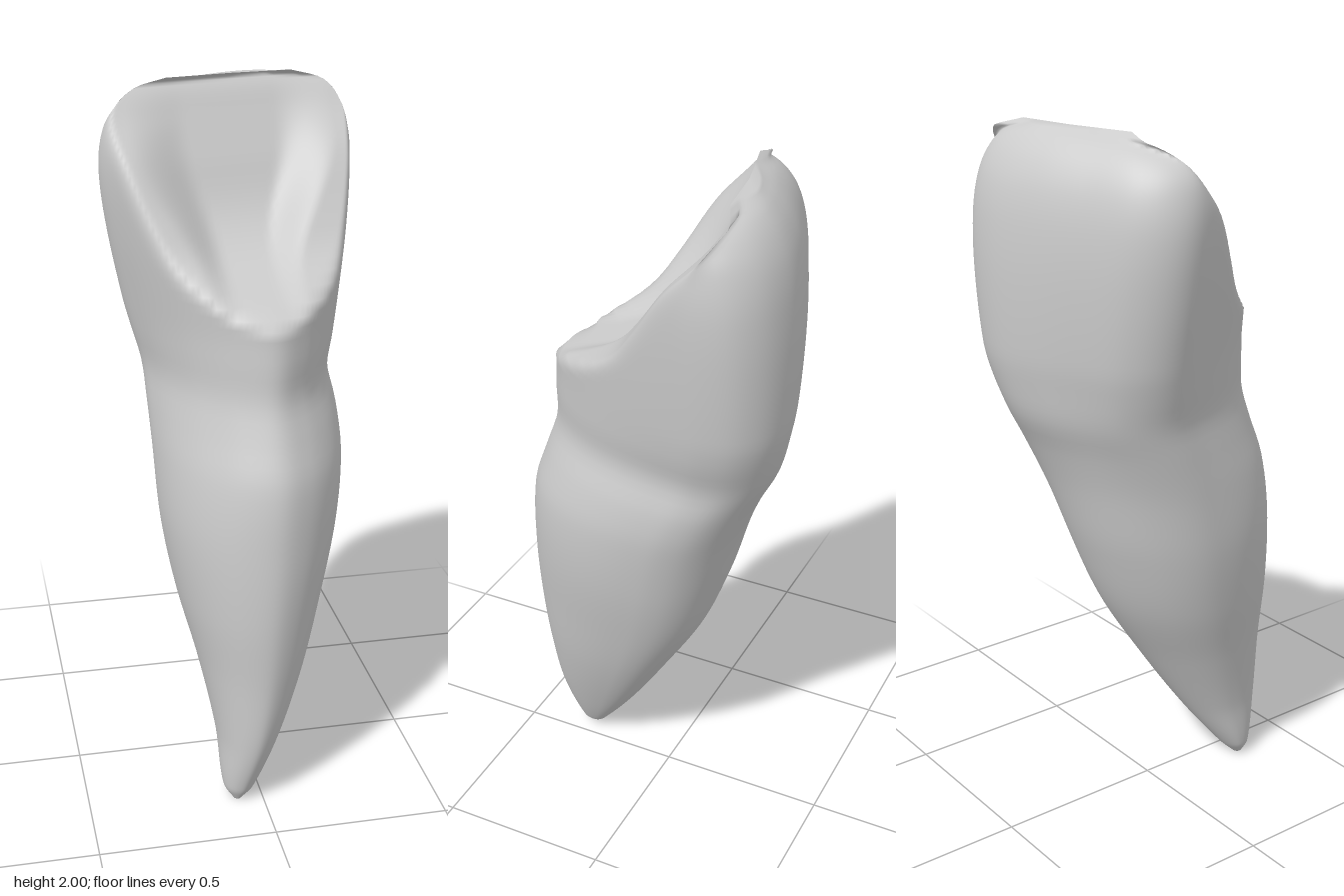
import * as THREE from 'three';

// Outline by height: y, xMin, xMax, zFront, zBack
const LEVELS = [
  [0.0, -0.085, -0.06, 0.32, 0.29],
  [0.04, -0.11, -0.02, 0.343, 0.25],
  [0.2, -0.122, 0.06, 0.385, 0.13],
  [0.4, -0.16, 0.14, 0.405, 0.0],
  [0.6, -0.21, 0.2, 0.42, -0.12],
  [0.8, -0.243, 0.25, 0.42, -0.2],
  [1.0, -0.253, 0.28, 0.405, -0.265],
  [1.12, -0.258, 0.285, 0.365, -0.315],
  [1.22, -0.264, 0.278, 0.333, -0.365],
  [1.32, -0.29, 0.308, 0.329, -0.393],
  [1.4, -0.31, 0.326, 0.325, -0.407],
  [1.6, -0.348, 0.351, 0.33, -0.415],
  [1.75, -0.365, 0.361, 0.33, -0.408],
  [1.85, -0.358, 0.356, 0.33, -0.39],
  [1.92, -0.33, 0.34, 0.33, -0.36],
  [1.97, -0.27, 0.298, 0.33, -0.32],
  [2.0, -0.17, 0.2, 0.33, -0.275],
];

// Tongue-side surface by height: y, hollow z, ridge z
const HOLLOW = [
  [1.38, 0.45, 0.45],
  [1.44, 0.31, 0.34],
  [1.5, 0.14, 0.19],
  [1.56, 0.02, 0.1],
  [1.65, -0.07, 0.03],
  [1.8, -0.145, -0.07],
  [1.9, -0.195, -0.165],
  [1.96, -0.225, -0.215],
  [2.0, -0.255, -0.255],
];

// Crown section seen from above (x, z), from the front tip round by +x
const SECTION = [
  [0.03, 0.33], [0.13, 0.28], [0.2, 0.21], [0.26, 0.12], [0.31, 0], [0.35, -0.15],
  [0.365, -0.25], [0.34, -0.34], [0.27, -0.4], [0.15, -0.425], [0, -0.4], [-0.15, -0.345],
  [-0.29, -0.28], [-0.35, -0.21], [-0.365, -0.14], [-0.33, -0.03], [-0.27, 0.09],
  [-0.2, 0.19], [-0.1, 0.28],
];

const { lerp, smoothstep, clamp } = THREE.MathUtils;

// Smooth (Hermite) reading of column c of a table at height y
function read(table, y, c) {
  let i = 0;
  while (i < table.length - 2 && y > table[i + 1][0]) i++;
  const slope = (j) => {
    const a = table[Math.max(j - 1, 0)], b = table[Math.min(j + 1, table.length - 1)];
    return (b[c] - a[c]) / (b[0] - a[0]);
  };
  const p = table[i], q = table[i + 1], h = q[0] - p[0];
  const t = clamp((y - p[0]) / h, 0, 1), t2 = t * t, t3 = t2 * t;
  return (2 * t3 - 3 * t2 + 1) * p[c] + (t3 - 2 * t2 + t) * h * slope(i)
    + (3 * t2 - 2 * t3) * q[c] + (t3 - t2) * h * slope(i + 1);
}

function smoothMin(a, b, k) {
  const h = Math.max(k - Math.abs(a - b), 0) / k;
  return Math.min(a, b) - h * h * k * 0.25;
}

// Hollowed tongue side with a raised ridge along each edge
function tongueSide(x, y, zBack) {
  const d = Math.abs(x - 0.01);
  const w = lerp(0.13, 0.29, smoothstep(y, 1.48, 1.85));
  const z = lerp(read(HOLLOW, y, 1), read(HOLLOW, y, 2), smoothstep(d, w * 0.45, w * 1.05));
  const tilt = -0.22 * x;
  return Math.max(z + tilt, zBack + 0.05 - 0.28 * Math.min(x, 0.12));
}

function ring(y, unit) {
  // Root is nearly oval, crown is a rounded triangle
  const crown = lerp(0.35, 1, smoothstep(y, 0.8, 1.4));
  const pts = unit.map((p) => p.clone().multiplyScalar(lerp(1 / p.length(), 1, crown)));
  const box = new THREE.Box2().setFromPoints(pts);
  const [x0, x1, zf, zb] = [1, 2, 3, 4].map((c) => read(LEVELS, y, c));
  return pts.map((p) => {
    const x = lerp(x0, x1, (p.x - box.min.x) / (box.max.x - box.min.x));
    let z = lerp(zb, zf, (p.y - box.min.y) / (box.max.y - box.min.y));
    if (y > 1.38) z = smoothMin(z, tongueSide(x, y, zb), 0.05 * smoothstep(y, 1.38, 1.45) * (1 - smoothstep(y, 1.85, 2)) + 0.004);
    return [x, y, z];
  });
}

function toothGeometry() {
  const N = 112, M = 100;
  const curve = new THREE.CatmullRomCurve3(
    SECTION.map(([x, z]) => new THREE.Vector3(x / 0.365, 0, (z + 0.0475) / 0.3775)), true);
  const unit = Array.from({ length: N }, (_, i) => {
    const p = curve.getPointAt(i / N);
    return new THREE.Vector2(p.x, p.z);
  });
  const pos = [], index = [];
  for (let j = 0; j <= M; j++) {
    // Rings gather toward both ends
    const t = j / M;
    const y = 2 * lerp(t, 0.5 - 0.5 * Math.cos(Math.PI * t), 0.75);
    for (const v of ring(y, unit)) pos.push(...v);
  }
  for (let j = 0; j < M; j++) {
    for (let i = 0; i < N; i++) {
      const k = (i + 1) % N;
      const a = j * N + i, b = j * N + k, c = b + N, d = a + N;
      index.push(a, b, c, a, c, d);
    }
  }
  // Close the root tip and the biting edge
  for (const [row, flip] of [[0, true], [M, false]]) {
    const center = [0, 0, 0];
    for (let i = 0; i < N; i++) {
      for (let c = 0; c < 3; c++) center[c] += pos[(row * N + i) * 3 + c] / N;
    }
    const pole = pos.length / 3;
    pos.push(...center);
    for (let i = 0; i < N; i++) {
      const a = row * N + i, b = row * N + (i + 1) % N;
      index.push(pole, flip ? b : a, flip ? a : b);
    }
  }
  const g = new THREE.BufferGeometry();
  g.setAttribute('position', new THREE.Float32BufferAttribute(pos, 3));
  g.setIndex(index);
  g.computeVertexNormals();
  return g;
}

export function createModel() {
  const group = new THREE.Group();
  group.name = 'incisorTooth';
  const tooth = new THREE.Mesh(toothGeometry(), new THREE.MeshStandardMaterial({ color: 0xcccccc }));
  tooth.name = 'crownAndRoot';
  group.add(tooth);
  return group;
}
